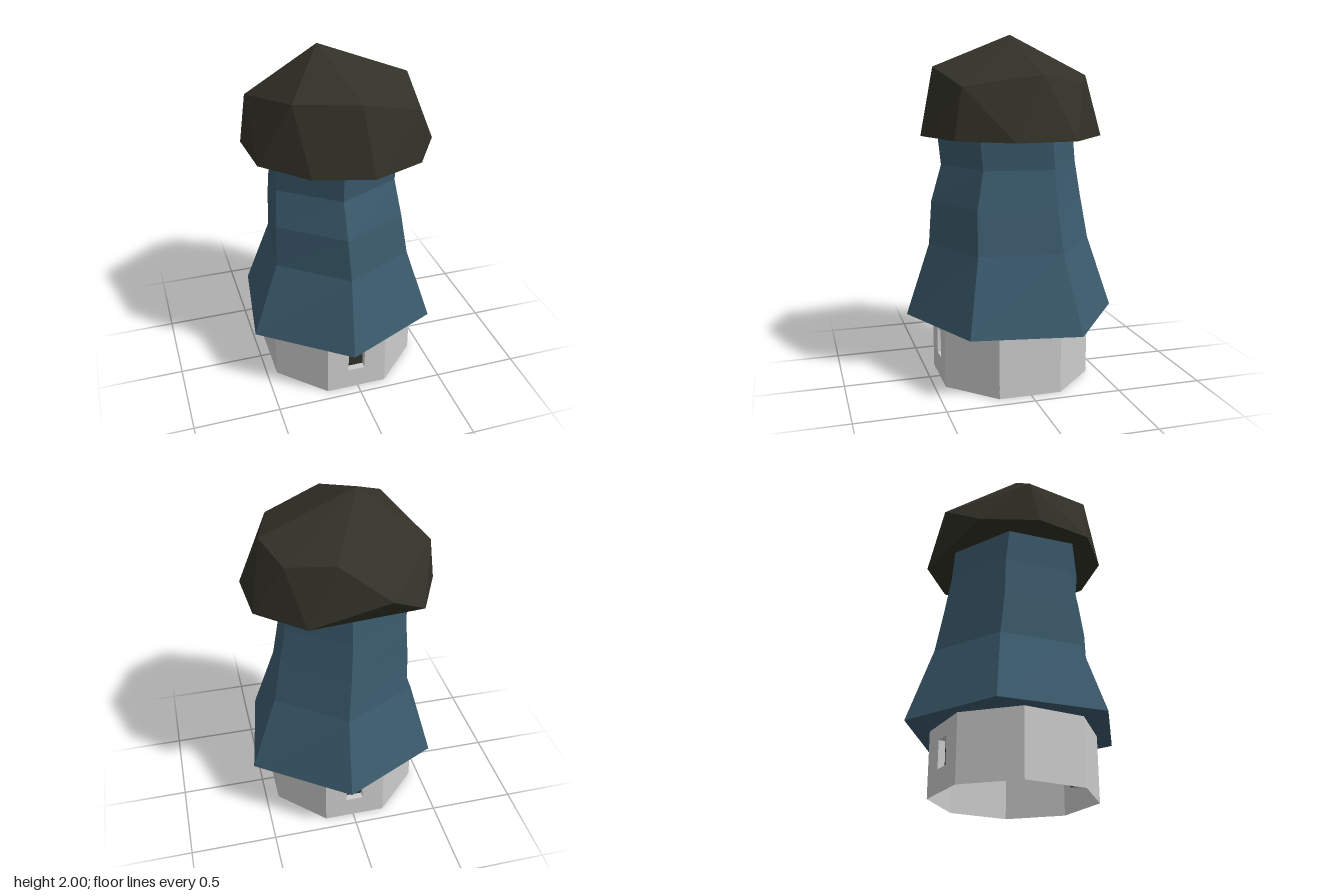
import * as THREE from 'three';
import { ConvexGeometry } from 'three/addons/geometries/ConvexGeometry.js';

const stone = new THREE.MeshStandardMaterial({ name: 'paleStone', color: 0xcccccc, side: THREE.DoubleSide });
const blue = new THREE.MeshStandardMaterial({ name: 'slateBlue', color: 0x3b5b6d });
const dark = new THREE.MeshStandardMaterial({ name: 'darkThatch', color: 0x323127, side: THREE.DoubleSide });

const WALL = { apothem: 0.432, half: 0.179, height: 0.385 };
const WINDOW = { half: 0.05, bottom: 0.13, top: 0.29, depth: 0.04 };

function mesh(name, geometry, material, parent) {
  const m = new THREE.Mesh(geometry, material);
  m.name = name;
  parent.add(m);
  return m;
}

function rectangle(target, x, y0, y1) {
  target.moveTo(-x, y0);
  target.lineTo(x, y0);
  target.lineTo(x, y1);
  target.lineTo(-x, y1);
  target.closePath();
  return target;
}

// Recessed window: four reveals and a dark pane at the back
function addWindow(side) {
  const { half, bottom, top, depth } = WINDOW;
  const mid = (bottom + top) / 2;
  const z = WALL.apothem - depth / 2;
  for (const s of [-1, 1]) {
    const jamb = mesh('windowJamb', new THREE.PlaneGeometry(depth, top - bottom), stone, side);
    jamb.position.set(s * half, mid, z);
    jamb.rotation.y = -s * Math.PI / 2;
    const sill = mesh(s < 0 ? 'windowSill' : 'windowLintel', new THREE.PlaneGeometry(half * 2, depth), stone, side);
    sill.position.set(0, s < 0 ? bottom : top, z);
    sill.rotation.x = s * Math.PI / 2;
  }
  const pane = mesh('windowPane', new THREE.PlaneGeometry(half * 2, top - bottom), dark, side);
  pane.position.set(0, mid, WALL.apothem - depth);
}

// Octagonal base, open underneath, with windows at front and back
function buildBase() {
  const base = new THREE.Group();
  base.name = 'base';
  for (let i = 0; i < 8; i++) {
    const side = new THREE.Group();
    side.name = 'wallSide';
    side.rotation.y = i * Math.PI / 4;
    const shape = rectangle(new THREE.Shape(), WALL.half, 0, WALL.height);
    const hasWindow = i % 4 === 0;
    if (hasWindow) {
      shape.holes.push(rectangle(new THREE.Path(), WINDOW.half, WINDOW.bottom, WINDOW.top));
      addWindow(side);
    }
    mesh('wall', new THREE.ShapeGeometry(shape), stone, side).position.z = WALL.apothem;
    base.add(side);
  }
  base.position.set(-0.008, 0, 0.006);
  return base;
}

// Flared six-sided body: one ring of corners scaled and shifted at each level
function bodyGeometry() {
  const ring = [[0.06, -0.62], [-0.49, -0.355], [-0.57, 0.25], [-0.08, 0.615], [0.47, 0.36], [0.57, -0.25]];
  const levels = [ // height, scale x, scale z, shift x, shift z
    [0.375, 1, 1, 0, 0],
    [0.8, 0.73, 0.77, 0, 0.005],
    [1.05, 0.685, 0.72, -0.02, 0.015],
    [1.26, 0.637, 0.643, -0.03, 0],
    [1.46, 0.65, 0.645, -0.03, 0.02],
  ];
  const n = ring.length;
  const positions = [];
  const index = [];
  for (const [y, sx, sz, dx, dz] of levels) {
    for (const [x, z] of ring) positions.push(x * sx + dx, y - (y < 0.5 ? x * 0.008 : 0), z * sz + dz);
  }
  for (let l = 0; l < levels.length - 1; l++) {
    for (let i = 0; i < n; i++) {
      const a = l * n + i, b = l * n + (i + 1) % n;
      index.push(a, b, b + n, a, b + n, a + n);
    }
  }
  const last = (levels.length - 1) * n;
  for (let i = 1; i < n - 1; i++) {
    index.push(0, i + 1, i);
    index.push(last, last + i, last + i + 1);
  }
  const g = new THREE.BufferGeometry();
  g.setAttribute('position', new THREE.Float32BufferAttribute(positions, 3));
  g.setIndex(index);
  const flat = g.toNonIndexed();
  flat.computeVertexNormals();
  return flat;
}

// Irregular faceted cap: hull of a peak, a shoulder ring and an eave ring
function roofGeometry() {
  const peakAndShoulder = [
    [-0.1, 2, -0.025],
    [-0.48, 1.71, -0.15], [-0.33, 1.81, 0.32], [0, 1.82, 0.452], [0.335, 1.72, 0.362],
    [0.435, 1.78, -0.055], [0.35, 1.735, -0.31], [0.1, 1.77, -0.42], [-0.17, 1.58, -0.518],
  ];
  const eave = [
    [-0.38, -0.41], [0.26, -0.455], [0.51, -0.225], [0.533, 0.12], [0.35, 0.41],
    [0.05, 0.535], [-0.27, 0.455], [-0.5, 0.22], [-0.525, -0.11],
  ];
  const points = peakAndShoulder.map((p) => new THREE.Vector3(...p));
  for (const [x, z] of eave) points.push(new THREE.Vector3(x, 1.442 - x * 0.016, z));
  return new ConvexGeometry(points);
}

export function createModel() {
  const model = new THREE.Group();
  model.name = 'tower';
  model.add(buildBase());
  mesh('body', bodyGeometry(), blue, model);
  mesh('roof', roofGeometry(), dark, model);
  return model;
}
